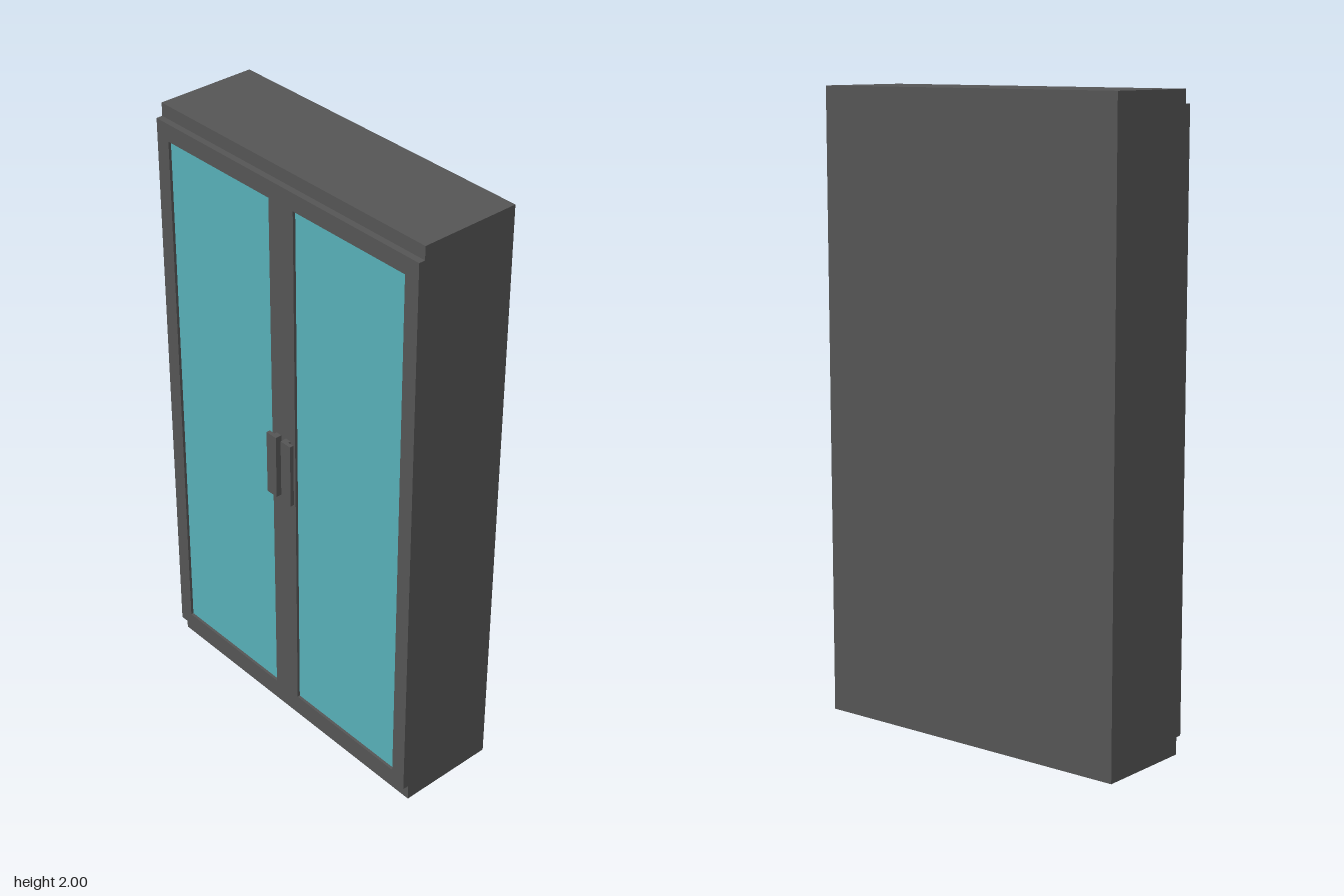
import * as THREE from 'three';

const dark = new THREE.MeshStandardMaterial({ color: 0x555555 });
const teal = new THREE.MeshStandardMaterial({ color: 0x57b0b8 });

// Box given by its minimum and maximum corners
function box(name, material, [x0, y0, z0], [x1, y1, z1]) {
  const mesh = new THREE.Mesh(new THREE.BoxGeometry(x1 - x0, y1 - y0, z1 - z0), material);
  mesh.position.set((x0 + x1) / 2, (y0 + y1) / 2, (z0 + z1) / 2);
  mesh.name = name;
  return mesh;
}

// Closed rectangle outline
function rect(PathType, x0, y0, x1, y1) {
  return new PathType([[x0, y0], [x1, y0], [x1, y1], [x0, y1]].map(p => new THREE.Vector2(...p)));
}

export function createModel() {
  const model = new THREE.Group();
  model.name = 'cabinet';
  const W = 0.555, back = -0.188, front = 0.145, doorFront = 0.166;

  // Carcass with plinth and cornice showing below and above the doors
  model.add(box('carcass', dark, [-W, 0, back], [W, 2, front]));

  // Door frames, flush with each other, with one opening per door
  const outline = rect(THREE.Shape, -W, 0.055, W, 1.957);
  for (const s of [-1, 1]) outline.holes.push(rect(THREE.Path, s * 0.052, 0.1, s * 0.503, 1.9));
  const frame = new THREE.Mesh(
    new THREE.ExtrudeGeometry(outline, { depth: doorFront - front, bevelEnabled: false }), dark);
  frame.position.z = front;
  frame.name = 'doorFrames';
  model.add(frame);

  for (const [s, side] of [[1, 'left'], [-1, 'right']]) {
    // Slightly recessed glass pane
    const x = [s * 0.052, s * 0.503].sort((a, b) => a - b);
    model.add(box(side + 'Glass', teal, [x[0], 0.1, front], [x[1], 1.9, 0.157]));

    // L-shaped pull handle, its lip pointing away from the centre
    const profile = [[0.011, 0], [0.032, 0], [0.032, 0.009], [0.054, 0.009], [0.054, 0.022], [0.011, 0.022]];
    const shape = new THREE.Shape(profile.map(([px, pz]) => new THREE.Vector2(s * px, -pz)));
    const handle = new THREE.Mesh(
      new THREE.ExtrudeGeometry(shape, { depth: 0.22, bevelEnabled: false }), dark);
    handle.rotation.x = -Math.PI / 2;
    handle.position.set(0, 0.89, doorFront);
    handle.name = side + 'Handle';
    model.add(handle);
  }
  return model;
}
